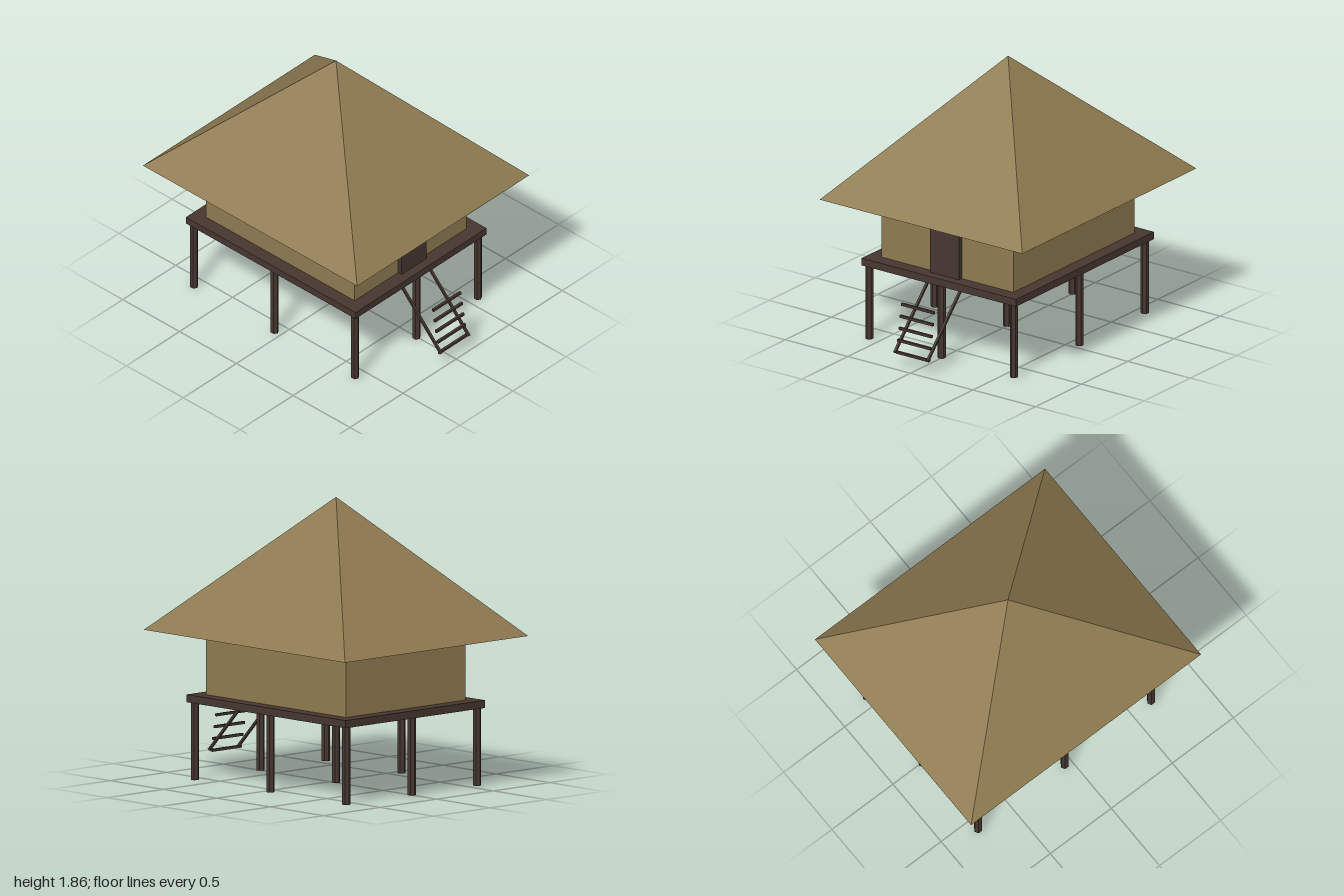
import * as THREE from 'three';

export function createModel() {
  const hut = new THREE.Group();
  hut.name = 'stiltHut';

  const thatch = new THREE.MeshStandardMaterial({ name: 'thatch', color: 0x8e7a50, flatShading: true });
  const darkWood = new THREE.MeshStandardMaterial({ name: 'darkWood', color: 0x46362f, flatShading: true });
  const CZ = -0.055; // middle of the house along z

  const add = (name, geometry, material, x, y, z, parent = hut) => {
    const mesh = new THREE.Mesh(geometry, material);
    mesh.name = name;
    mesh.position.set(x, y, z);
    parent.add(mesh);
    return mesh;
  };
  const box = (name, material, w, h, d, x, y, z, parent) =>
    add(name, new THREE.BoxGeometry(w, h, d), material, x, y, z, parent);

  // Pyramid roof with a closed underside
  const roof = new THREE.ConeGeometry(Math.SQRT1_2, 1, 4, 1);
  roof.rotateY(Math.PI / 4);
  roof.scale(1.62, 0.885, 1.885);
  add('roof', roof, thatch, 0, 0.975 + 0.885 / 2, CZ - 0.002);

  // House body, door and floor platform
  box('walls', thatch, 1.056, 0.425, 1.31, 0, 0.7625, CZ);
  box('door', darkWood, 0.234, 0.42, 0.06, 0, 0.764, 0.6);
  box('platform', darkWood, 1.234, 0.05, 1.493, 0, 0.53, CZ);

  // Three rows of three stilts
  const stilts = new THREE.Group();
  stilts.name = 'stilts';
  hut.add(stilts);
  const stilt = new THREE.CylinderGeometry(0.027, 0.027, 0.51, 6);
  for (const x of [-0.582, -0.004, 0.574])
    for (const z of [0.655, -0.053, -0.762]) add('stilt', stilt, darkWood, x, 0.255, z, stilts);

  // Ladder: two sloping rails, rungs on a steeper line in front of them
  const ladder = new THREE.Group();
  ladder.name = 'ladder';
  hut.add(ladder);
  const foot = new THREE.Vector2(0.992, 0.11), head = new THREE.Vector2(0.605, 0.518); // (z, y)
  const run = head.clone().sub(foot);
  for (const side of [-1, 1]) {
    const rail = box('rail', darkWood, 0.016, run.length(), 0.016,
      side * 0.131, (foot.y + head.y) / 2, (foot.x + head.x) / 2, ladder);
    rail.rotation.x = Math.atan2(run.x, run.y);
  }
  for (let i = 0; i < 5; i++)
    box('rung', darkWood, 0.262, 0.017, 0.017, 0, 0.107 + i * 0.0785, 0.97 - i * 0.0133, ladder);

  return hut;
}
